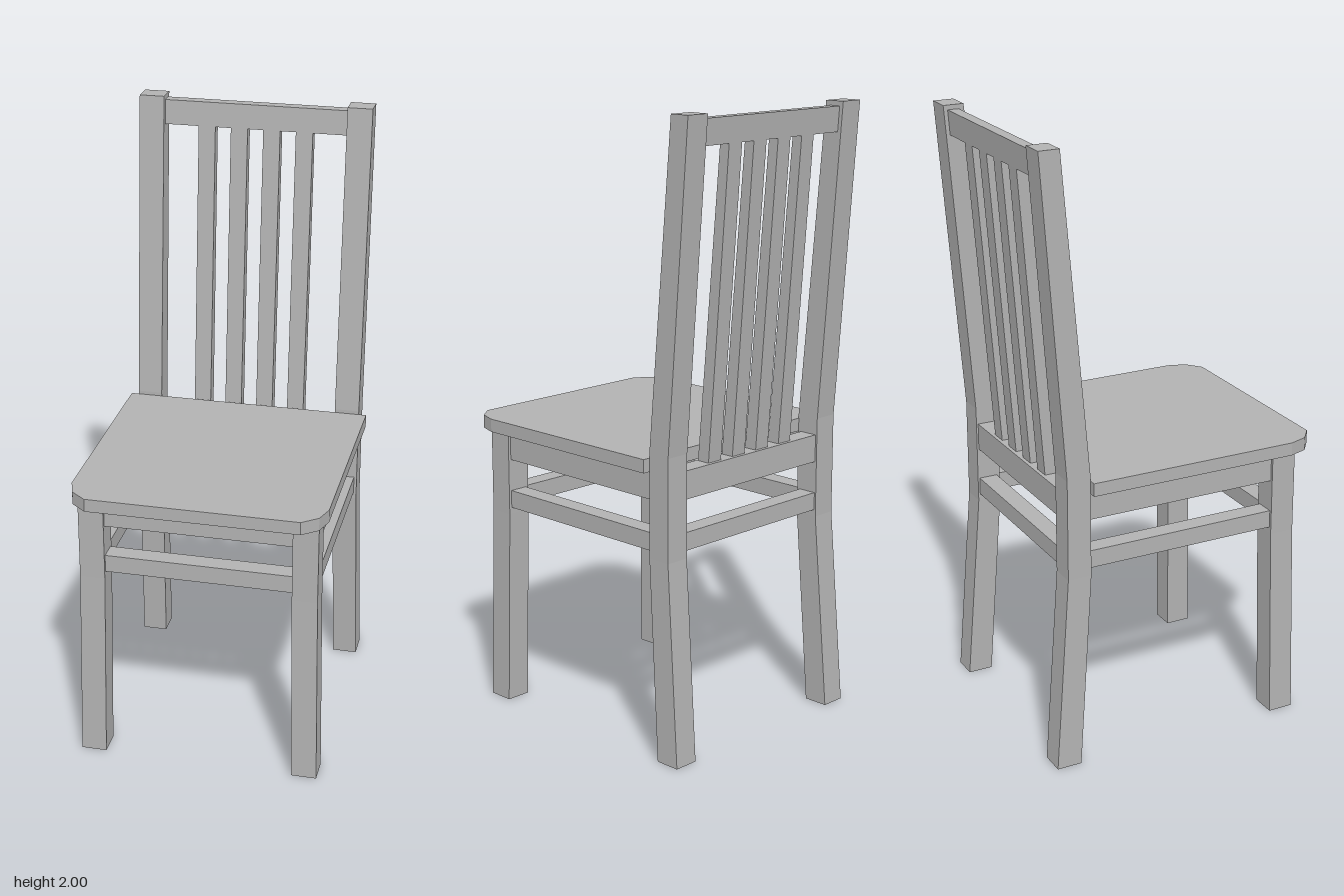
import * as THREE from 'three';

const paint = new THREE.MeshStandardMaterial({ color: 0xb2b2b2 });
paint.name = 'plain grey';

// Bar through rectangular sections, bottom to top: [y, xMin, xMax, zMin, zMax]
function beam(name, sections) {
  const rings = sections.map(([y, x0, x1, z0, z1]) => [
    [x0, y, z1], [x1, y, z1], [x1, y, z0], [x0, y, z0],
  ]);
  const pos = [];
  const quad = (a, b, c, d) => pos.push(...a, ...b, ...c, ...a, ...c, ...d);
  for (let i = 0; i < rings.length - 1; i++) {
    const lo = rings[i], hi = rings[i + 1];
    for (let k = 0; k < 4; k++) {
      const n = (k + 1) % 4;
      quad(lo[k], lo[n], hi[n], hi[k]);
    }
  }
  const bottom = rings[0], top = rings[rings.length - 1];
  quad(top[0], top[1], top[2], top[3]);
  quad(bottom[3], bottom[2], bottom[1], bottom[0]);
  const geo = new THREE.BufferGeometry();
  geo.setAttribute('position', new THREE.Float32BufferAttribute(pos, 3));
  geo.computeVertexNormals();
  const mesh = new THREE.Mesh(geo, paint);
  mesh.name = name;
  return mesh;
}

export function createModel() {
  const chair = new THREE.Group();
  chair.name = 'chair';

  // Seat board with clipped front corners
  const outline = [
    [-0.41, -0.325], [0.41, -0.325], [0.41, 0.38], [0.39, 0.44],
    [0.34, 0.48], [-0.34, 0.48], [-0.39, 0.44], [-0.41, 0.38],
  ].map(([x, z]) => new THREE.Vector2(x, -z));
  const seatGeo = new THREE.ExtrudeGeometry(new THREE.Shape(outline), { depth: 0.043, bevelEnabled: false });
  seatGeo.rotateX(-Math.PI / 2).translate(0, 0.925, 0);
  const seat = new THREE.Mesh(seatGeo, paint);
  seat.name = 'seat';
  chair.add(seat);

  // Legs, splayed below the stretchers; the back pair rises into the posts
  for (const side of [1, -1]) {
    const label = side > 0 ? 'left' : 'right';
    const span = (a, b) => (side > 0 ? [a, b] : [-b, -a]);
    const foot = span(0.313, 0.396), upper = span(0.303, 0.385);
    chair.add(beam(label + 'FrontLeg', [
      [0, ...foot, 0.335, 0.419],
      [0.65, ...upper, 0.325, 0.407],
      [0.925, ...upper, 0.325, 0.407],
    ]));
    chair.add(beam(label + 'BackLeg', [
      [0, ...foot, -0.453, -0.37],
      [0.65, ...upper, -0.403, -0.324],
      [0.98, ...upper, -0.403, -0.324],
      [2, ...upper, -0.481, -0.413],
    ]));
  }

  // Aprons and stretchers on all four sides
  for (const [kind, y0, y1] of [['Apron', 0.835, 0.925], ['Stretcher', 0.672, 0.73]]) {
    const rail = (name, ...box) => chair.add(beam(name + kind, [[y0, ...box], [y1, ...box]]));
    rail('front', -0.305, 0.305, 0.335, 0.397);
    rail('back', -0.305, 0.305, -0.397, -0.335);
    rail('left', 0.314, 0.376, -0.326, 0.327);
    rail('right', -0.376, -0.314, -0.326, 0.327);
  }

  // Leaning top rail
  chair.add(beam('topRail', [
    [1.905, -0.305, 0.305, -0.461, -0.424],
    [1.985, -0.305, 0.305, -0.467, -0.43],
  ]));

  // Back slats
  for (const x of [-0.162, -0.054, 0.054, 0.162]) {
    chair.add(beam('backSlat', [
      [0.925, x - 0.028, x + 0.028, -0.385, -0.341],
      [1.905, x - 0.028, x + 0.028, -0.46, -0.424],
    ]));
  }
  return chair;
}
